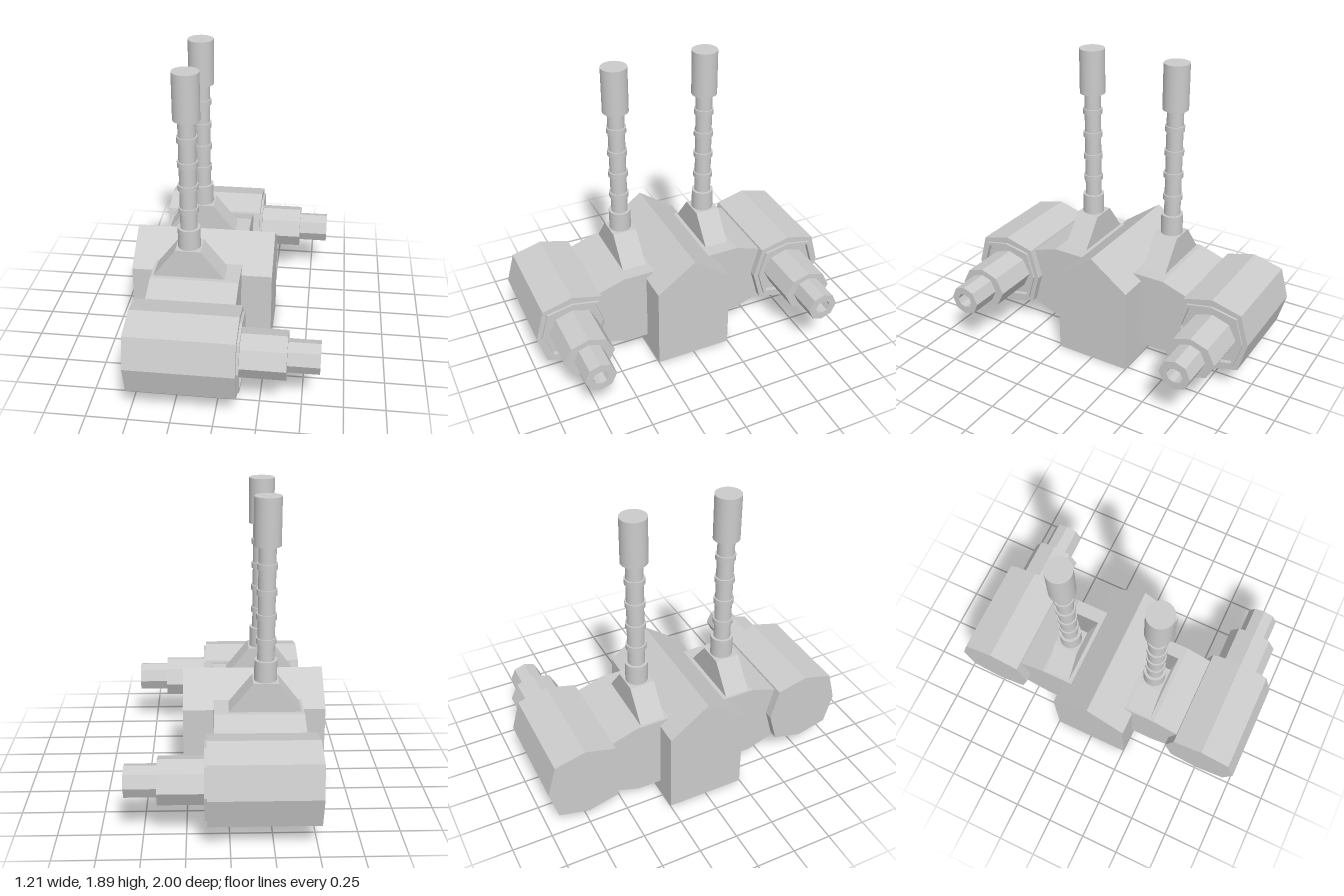
import * as THREE from 'three';

const grey = new THREE.MeshStandardMaterial({ color: 0xcccccc, flatShading: true });
const smooth = new THREE.MeshStandardMaterial({ color: 0xcccccc });

function add(parent, name, geometry, material = grey) {
  const mesh = new THREE.Mesh(geometry, material);
  mesh.name = name;
  parent.add(mesh);
  return mesh;
}

// Extrude a [z, y] outline along x, from x0 to x1
function prismX(points, x0, x1) {
  const shape = new THREE.Shape(points.map(p => new THREE.Vector2(...p)));
  const g = new THREE.ExtrudeGeometry(shape, { depth: x1 - x0, bevelEnabled: false });
  return g.rotateY(-Math.PI / 2).translate(x1, 0, 0);
}

// Loft eight-sided sections along x.
// Each section: [x, half depth, half height, corner z, corner y]
function octagonLoft(sections) {
  const pos = [];
  const loops = sections.map(([x, az, ay, dz, dy]) => [
    [x, 0, az], [x, dy, dz], [x, ay, 0], [x, dy, -dz],
    [x, 0, -az], [x, -dy, -dz], [x, -ay, 0], [x, -dy, dz]]);
  const tri = (a, b, c) => pos.push(...a, ...b, ...c);
  for (let k = 0; k < loops.length - 1; k++) {
    for (let i = 0; i < 8; i++) {
      const j = (i + 1) % 8, A = loops[k], B = loops[k + 1];
      tri(A[i], B[i], B[j]);
      tri(A[i], B[j], A[j]);
    }
  }
  const first = loops[0], last = loops[loops.length - 1];
  for (let i = 0; i < 8; i++) {
    const j = (i + 1) % 8;
    tri([first[0][0], 0, 0], first[i], first[j]);
    tri([last[0][0], 0, 0], last[j], last[i]);
  }
  const g = new THREE.BufferGeometry();
  g.setAttribute('position', new THREE.Float32BufferAttribute(pos, 3));
  g.computeVertexNormals();
  return g;
}

// Octagonal housing with raised rim, stepped barrel and hollow muzzle
function makeGun() {
  const housing = [0.243, 0.243, 0.19, 0.193], rim = [0.213, 0.2, 0.165, 0.168];
  const groove = [0.195, 0.178, 0.148, 0.15], barrel = [0.16, 0.133, 0.11, 0.098];
  const muzzle = [0.1, 0.095, 0.067, 0.072], bore = [0.052, 0.045, 0.035, 0.035];
  return octagonLoft([
    [-0.515, ...housing], [0.13, ...housing], [0.13, ...rim], [0.145, ...rim],
    [0.145, ...groove], [0.115, ...groove], [0.115, ...barrel], [0.41, ...barrel],
    [0.41, ...muzzle], [0.6, ...muzzle], [0.6, ...bore], [0.5, ...bore]]);
}

// Upright mast: base collar, thin shaft with rings, wide cap
function makeMast() {
  const mast = new THREE.Group();
  mast.name = 'mast';
  const tube = (name, r, y0, y1) =>
    add(mast, name, new THREE.CylinderGeometry(r, r, y1 - y0, 32).translate(0, (y0 + y1) / 2, 0), smooth);
  tube('mastCollar', 0.069, 0.77, 0.91);
  tube('mastShaft', 0.052, 0.9, 1.61);
  for (const y of [1.03, 1.18, 1.33, 1.485]) tube('mastRing', 0.061, y - 0.018, y + 0.018);
  tube('mastCap', 0.08, 1.605, 1.89);
  return mast;
}

export function createModel() {
  const model = new THREE.Group();
  model.name = 'twinGunTurret';

  // Central block with a pitched roof
  add(model, 'body', prismX(
    [[-0.248, 0], [0.248, 0], [0.248, 0.555], [0, 0.735], [-0.248, 0.555]], -0.605, 0.275));

  for (const s of [1, -1]) {
    const side = new THREE.Group();
    side.name = s > 0 ? 'frontSide' : 'backSide';
    model.add(side);

    // Tapered arm between the body and the gun
    add(side, 'arm', prismX(
      [[0.19, 0.09], [0.4, 0.09], [0.57, 0.15], [0.57, 0.54], [0.4, 0.597], [0.19, 0.597]]
        .map(([z, y]) => [s * z, y]), -0.46, 0.085));

    add(side, 'gun', makeGun()).position.set(0, 0.362, s * 0.757);

    // Sloped foot carrying the mast
    const foot = new THREE.Shape([[-0.45, 0.59], [0, 0.59], [-0.15, 0.78], [-0.305, 0.78]]
      .map(p => new THREE.Vector2(...p)));
    add(side, 'mastFoot', new THREE.ExtrudeGeometry(foot, { depth: 0.156, bevelEnabled: false })
      .translate(0, 0, s * 0.293 - 0.078));

    const mast = makeMast();
    mast.position.set(-0.228, 0, s * 0.293);
    side.add(mast);
  }
  return model;
}
